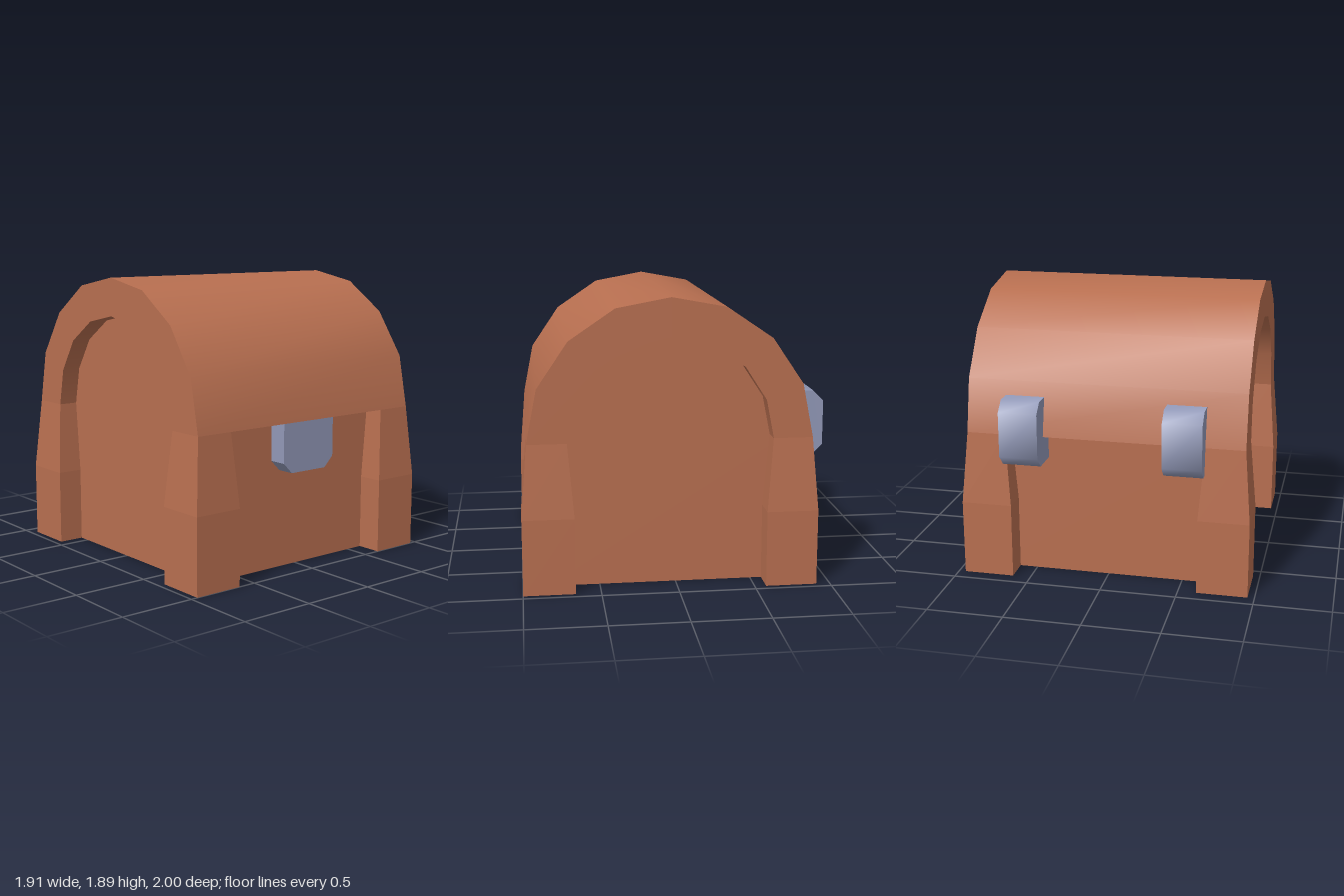
import * as THREE from 'three';
import { toCreasedNormals } from 'three/addons/utils/BufferGeometryUtils.js';

const SEAM = 0.98; // height where the lid meets the base
const CORE = 0.785; // half width of the recessed body

// Right half of each arch, from the seam up to the crown: [z, y]
const OUTER = [[0.915, SEAM], [0.845, 1.33], [0.645, 1.625], [0.35, 1.825], [0, 1.89]];
const INNER = [[0.66, SEAM], [0.61, 1.23], [0.47, 1.445], [0.25, 1.59], [0, 1.64]];

function archPoints(half) {
  const mirrored = half.slice(0, -1).reverse().map(([z, y]) => [-z, y]);
  return [...half, ...mirrored].map(([z, y]) => new THREE.Vector2(z, y));
}

// Extrudes a z-y outline along x, centred on x = 0
function extrudeAlongX(points, width, crease) {
  const geo = new THREE.ExtrudeGeometry(new THREE.Shape(points), { depth: width, bevelEnabled: false });
  geo.translate(0, 0, -width / 2);
  geo.rotateY(-Math.PI / 2);
  return toCreasedNormals(geo, crease);
}

// Corner post: straight at the foot, tapering towards the lid
function cornerPostGeometry(sx, sz) {
  const geo = new THREE.BoxGeometry(1, 1, 1, 1, 2, 1).toNonIndexed();
  const pos = geo.attributes.position;
  for (let i = 0; i < pos.count; i++) {
    const v = pos.getY(i);
    const top = v > 0.25;
    const y = top ? SEAM : v < -0.25 ? 0 : 0.5;
    const outer = top ? 0.915 : 0.955;
    const inner = top ? 0.66 : 0.62;
    const place = (value, sign) => sign * (value * sign > 0 ? outer : inner);
    pos.setXYZ(i, place(pos.getX(i), sx), y, place(pos.getZ(i), sz));
  }
  geo.computeVertexNormals();
  return geo;
}

export function createModel() {
  const wood = new THREE.MeshStandardMaterial({ color: 0xb86f50 });
  wood.name = 'wood';
  const metal = new THREE.MeshStandardMaterial({ color: 0x9299b8 });
  metal.name = 'metal';

  const model = new THREE.Group();
  model.name = 'chest';
  const add = (name, geo, material, x = 0, y = 0, z = 0) => {
    const mesh = new THREE.Mesh(geo, material);
    mesh.name = name;
    mesh.position.set(x, y, z);
    model.add(mesh);
  };
  const zMid = 0.045; // the hinges push the chest slightly forward

  // Recessed body and its four corner posts
  add('body', new THREE.BoxGeometry(CORE * 2, SEAM, CORE * 2), wood, 0, SEAM / 2, zMid);
  for (const sx of [-1, 1]) {
    for (const sz of [-1, 1]) {
      const name = (sz > 0 ? 'front' : 'back') + (sx > 0 ? 'Left' : 'Right') + 'Post';
      add(name, cornerPostGeometry(sx, sz), wood, 0, 0, zMid);
    }
  }

  // Arched lid, open at the ends, with recessed end panels
  const lidOutline = [...archPoints(OUTER), ...archPoints(INNER).reverse()];
  add('lid', extrudeAlongX(lidOutline, 1.83, 0.65), wood, 0, 0, zMid);
  add('lidEndPanels', extrudeAlongX(archPoints(INNER), CORE * 2, 0.65), wood, 0, 0, zMid);

  // Clasp tucked under the front edge of the lid
  const clasp = new THREE.Shape([
    [-0.215, 0.72], [-0.145, 0.65], [0.145, 0.65], [0.215, 0.72], [0.215, SEAM], [-0.215, SEAM],
  ].map(([x, y]) => new THREE.Vector2(x, y)));
  add('clasp', new THREE.ExtrudeGeometry(clasp, { depth: 0.14, bevelEnabled: false }), metal, 0, 0, 0.812);

  // Pair of chamfered hinges on the back
  const hingeOutline = [
    [-0.72, 0.8], [-0.72, 1.235], [-0.93, 1.235], [-1, 1.165], [-1, 0.87], [-0.93, 0.8],
  ].map(([z, y]) => new THREE.Vector2(z, y));
  const hinge = extrudeAlongX(hingeOutline, 0.255, 0.9);
  add('leftHinge', hinge, metal, 0.53);
  add('rightHinge', hinge, metal, -0.53);

  return model;
}
